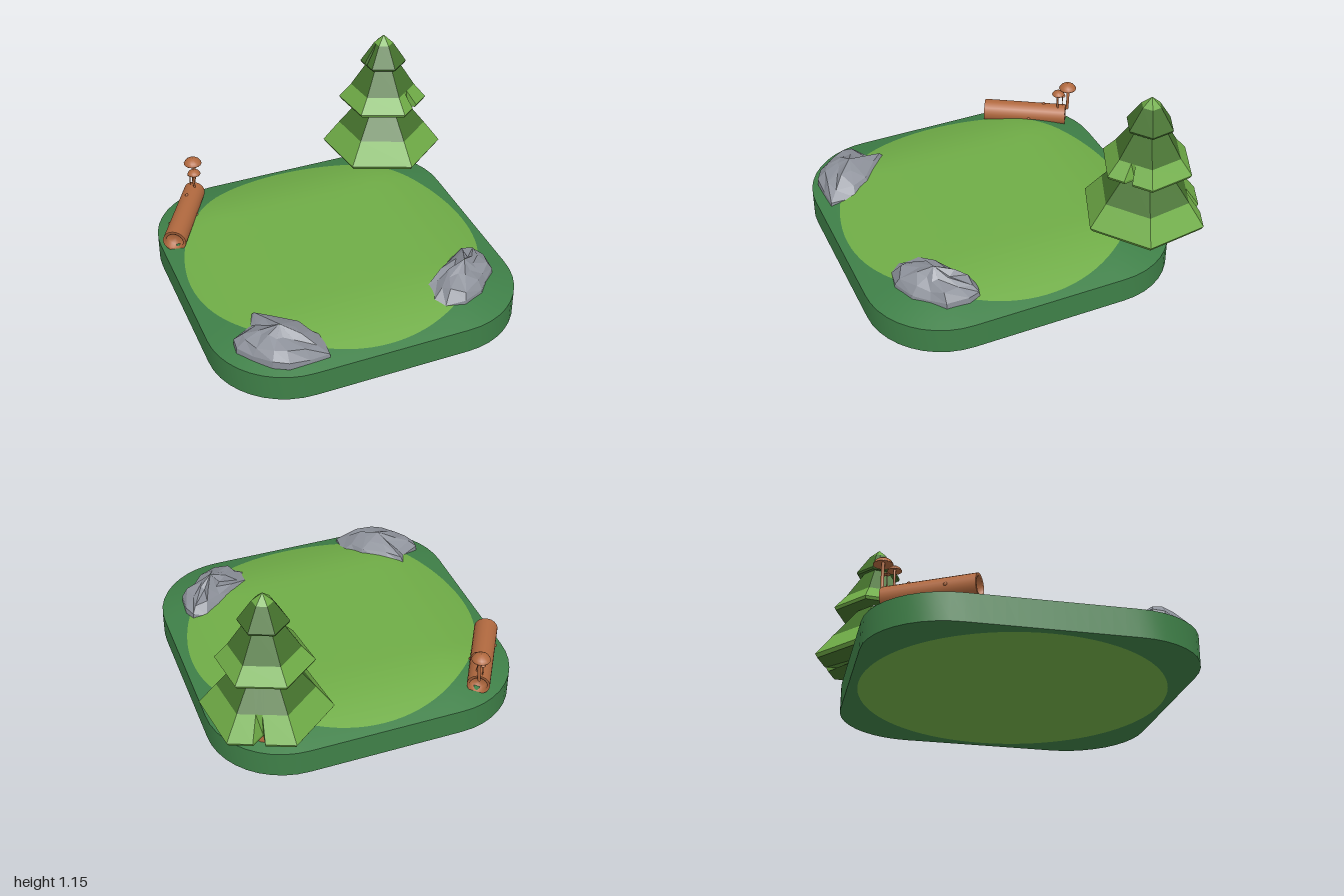
import * as THREE from 'three';

const mat = (name, color) => Object.assign(new THREE.MeshStandardMaterial({ color }), { name });

// Closed rings of [x, y, z], ordered top to bottom; bands[i] is the material index of strip i.
function loft(name, rings, mats, bands, flat) {
  const n = rings[0].length, index = [];
  let geo = new THREE.BufferGeometry();
  geo.setAttribute('position', new THREE.Float32BufferAttribute(rings.flat(2), 3));
  for (let i = 0; i < rings.length - 1; i++) {
    for (let j = 0; j < n; j++) {
      const a = i * n + j, b = i * n + (j + 1) % n;
      index.push(a, b, a + n, b, b + n, a + n);
    }
    geo.addGroup(i * n * 6, n * 6, bands[i] ?? 0);
  }
  geo.setIndex(index);
  if (flat) {
    const groups = geo.groups;
    geo = geo.toNonIndexed();
    geo.groups = groups;
  }
  geo.computeVertexNormals();
  const mesh = new THREE.Mesh(geo, mats);
  mesh.name = name;
  return mesh;
}

// ---- ground slab: rounded square with a gently raised top ----
const CX = -0.032, CZ = 0.078, HALF = 0.922, CORNER = 0.46, GRASS = 0.872, RIM = 0.16;
const TURNS = Array.from({ length: 96 }, (_, i) => (i / 96) * Math.PI * 2);

function edgeDistance(x, z) {
  const qx = Math.abs(x) - HALF + CORNER, qz = Math.abs(z) - HALF + CORNER;
  return CORNER - Math.hypot(Math.max(qx, 0), Math.max(qz, 0)) - Math.min(Math.max(qx, qz), 0);
}
function edgeRadius(t) {
  let lo = 0, hi = 2;
  for (let i = 0; i < 30; i++) {
    const m = (lo + hi) / 2;
    if (edgeDistance(m * Math.cos(t), m * Math.sin(t)) > 0) lo = m; else hi = m;
  }
  return lo;
}
function groundHeight(x, z) {
  const d = Math.max(0, edgeDistance(x, z));
  return RIM + 0.095 * Math.sin((Math.PI / 2) * Math.min(d / 0.48, 1));
}
// k below 1 is a fraction of the grass circle; from 1 to 2 it runs out to the slab edge
function groundRing(k, y) {
  return TURNS.map(t => {
    const r = k <= 1 ? GRASS * k : GRASS + (edgeRadius(t) - GRASS) * (k - 1);
    const x = r * Math.cos(t), z = r * Math.sin(t);
    return [CX + x, y ?? groundHeight(x, z), CZ + z];
  });
}

function ground(grass, soil) {
  const g = new THREE.Group();
  g.name = 'ground';
  const steps = [0.001, 0.3, 0.45, 0.55, 0.65, 0.75, 0.83, 0.9, 0.95, 1, 1.25, 1.5, 1.75, 2];
  g.add(loft('groundTop', steps.map(k => groundRing(k)), [grass, soil], steps.slice(1).map(k => (k > 1 ? 1 : 0))));
  g.add(loft('groundWall', [groundRing(2, RIM), groundRing(2, 0)], [soil], [0]));
  g.add(loft('groundUnderside', [groundRing(2, 0), groundRing(1, 0), groundRing(0.001, 0)], [grass, soil], [1, 0]));
  return g;
}

// ---- six-sided tree with one notch cut into each tier ----
function tierRing(r, y, edge, depth) {
  const corner = k => {
    const a = THREE.MathUtils.degToRad(22.4 + 60 * k);
    return [r * Math.cos(a), r * Math.sin(a)];
  };
  const pts = [];
  for (let k = 0; k < 6; k++) {
    const a = corner(k), b = corner(k + 1);
    pts.push([a[0], y, a[1]]);
    if (k !== edge) continue;
    for (const [t, cut] of [[0.45, 0], [0.5, depth], [0.63, 0]]) {
      const s = 1 - cut / r;
      pts.push([(a[0] + (b[0] - a[0]) * t) * s, y, (a[1] + (b[1] - a[1]) * t) * s]);
    }
  }
  return pts;
}

function tree(light, dark, wood) {
  const g = new THREE.Group();
  g.name = 'tree';
  const trunk = new THREE.Mesh(new THREE.LatheGeometry(
    [[0.096, 0.16], [0.088, 0.2], [0.083, 0.28], [0.08, 0.48]].map(p => new THREE.Vector2(...p)), 16), wood);
  trunk.name = 'trunk';
  g.add(trunk);
  // rows: [radius, height, notch depth]; bands: 0 light, 1 dark
  const tiers = [
    ['lowerFoliage', 4, [1, 0, 0, 1], [[0.12, 0.71, 0], [0.27, 0.52, 0], [0.37, 0.387, 0.09], [0.355, 0.364, 0.09], [0.07, 0.43, 0]]],
    ['middleFoliage', 0, [1, 0, 0, 1], [[0.09, 0.97, 0], [0.197, 0.8, 0], [0.27, 0.712, 0.07], [0.26, 0.694, 0.07], [0.08, 0.73, 0]]],
    ['upperFoliage', 2, [0, 1, 1, 1], [[0.001, 1.147, 0], [0.058, 1.095, 0], [0.14, 0.97, 0.03], [0.134, 0.957, 0.03], [0.05, 0.98, 0]]],
  ];
  for (const [name, edge, bands, rows] of tiers)
    g.add(loft(name, rows.map(([r, y, d]) => tierRing(r, y, edge, d)), [light, dark], bands, true));
  g.position.set(0.603, 0, -0.635);
  return g;
}

// ---- faceted rocks: a footprint drawn in ring by ring, with seeded unevenness ----
function rock(name, outline, peak, base, top, seed, stone) {
  const rand = () => ((seed = (seed * 16807) % 2147483647) / 2147483647) - 0.5;
  const levels = [[0.01, 1], [0.45, 0.97], [0.72, 0.82], [1, 0.48], [1, 0.2], [0.93, 0]].reverse ? 
    [[0.01, 0.96], [0.4, 0.72], [0.78, 0.48], [0.99, 0.2], [1, 0]] : [];
  const rings = levels.map(([s, h], i) => outline.map(([x, z]) => {
    const wob = i === 1 || i === 2 ? 1 : 0;
    const k = s + wob * rand() * 0.2;
    const y = base + (top - base) * (h + (i > 0 && i < 4 ? rand() * 0.2 : 0));
    return [peak[0] + (x - peak[0]) * k, y, peak[1] + (z - peak[1]) * k];
  }));
  return loft(name, rings, [stone], [], true);
}

// ---- hollow fallen log with knots ----
function fallenLog(wood) {
  const a = new THREE.Vector3(-0.89, 0.235, -0.29), b = new THREE.Vector3(-0.625, 0.235, -0.745);
  const len = a.distanceTo(b), g = new THREE.Group();
  g.name = 'fallenLog';
  const h = len / 2, shell = [[0.001, -h + 0.04], [0.05, -h + 0.04], [0.052, -h], [0.07, -h], [0.07, -h],
    [0.066, h], [0.066, h], [0.05, h], [0.048, h - 0.04], [0.001, h - 0.04]];
  const bark = new THREE.Mesh(new THREE.LatheGeometry(shell.map(p => new THREE.Vector2(...p)), 20), wood);
  bark.name = 'bark';
  g.add(bark);
  for (const [y, t] of [[0.03, 0.4], [0.12, 2.3], [-0.1, 3.6], [0.08, 5.2]]) {
    const knot = new THREE.Mesh(new THREE.SphereGeometry(0.011, 8, 6), wood);
    knot.name = 'knot';
    knot.position.set(0.066 * Math.cos(t), y, 0.066 * Math.sin(t));
    g.add(knot);
  }
  g.position.copy(a).add(b).multiplyScalar(0.5);
  g.quaternion.setFromUnitVectors(new THREE.Vector3(0, 1, 0), b.clone().sub(a).normalize());
  return g;
}

function mushroom(x, z, top, r, lean, wood) {
  const g = new THREE.Group();
  g.name = 'mushroom';
  const path = new THREE.CatmullRomCurve3([[0, 0.28, 0], [lean, (0.28 + top) / 2, 0], [0, top - 0.015, 0]]
    .map(p => new THREE.Vector3(...p)));
  const stem = new THREE.Mesh(new THREE.TubeGeometry(path, 8, r * 0.17, 8), wood);
  stem.name = 'stem';
  const profile = [[0.001, -0.45], [0.55, -0.6], [0.97, -0.74], [1, -0.66], [0.8, -0.34], [0.45, -0.08], [0.001, 0]];
  const cap = new THREE.Mesh(new THREE.LatheGeometry(profile.map(p => new THREE.Vector2(p[0] * r, p[1] * r)), 16), wood);
  cap.name = 'cap';
  cap.position.y = top;
  g.add(stem, cap);
  g.position.set(x, 0, z);
  return g;
}

export function createModel() {
  const grass = mat('grass green', 0x70ad47), soil = mat('deep green', 0x3f8048);
  const pine = mat('pine green', 0x45722d), wood = mat('wood brown', 0xb1693f), stone = mat('stone grey', 0x8d919a);
  const model = new THREE.Group();
  model.name = 'clearing';
  model.add(ground(grass, soil), tree(grass, pine, wood), fallenLog(wood));
  model.add(mushroom(-0.622, -0.755, 0.475, 0.055, 0.008, wood));
  model.add(mushroom(-0.634, -0.695, 0.427, 0.04, -0.008, wood));
  model.add(mushroom(-0.648, -0.735, 0.38, 0.018, -0.004, wood));

  // Footprints as [x, z]
  const left = [[-0.684, 0.488], [-0.6, 0.536], [-0.435, 0.668], [-0.37, 0.785], [-0.382, 0.934], [-0.5, 0.94],
    [-0.62, 0.944], [-0.7, 0.9], [-0.78, 0.806], [-0.843, 0.716], [-0.838, 0.647], [-0.716, 0.578]];
  const right = [[0.652, 0.42], [0.732, 0.44], [0.758, 0.51], [0.748, 0.642], [0.674, 0.71], [0.605, 0.79],
    [0.477, 0.843], [0.36, 0.822], [0.313, 0.764], [0.318, 0.658], [0.414, 0.578], [0.53, 0.483]];
  model.add(rock('leftRock', left, [-0.6, 0.74], 0.18, 0.337, 71, stone));
  model.add(rock('rightRock', right, [0.56, 0.64], 0.195, 0.362, 2024, stone));
  return model;
}
